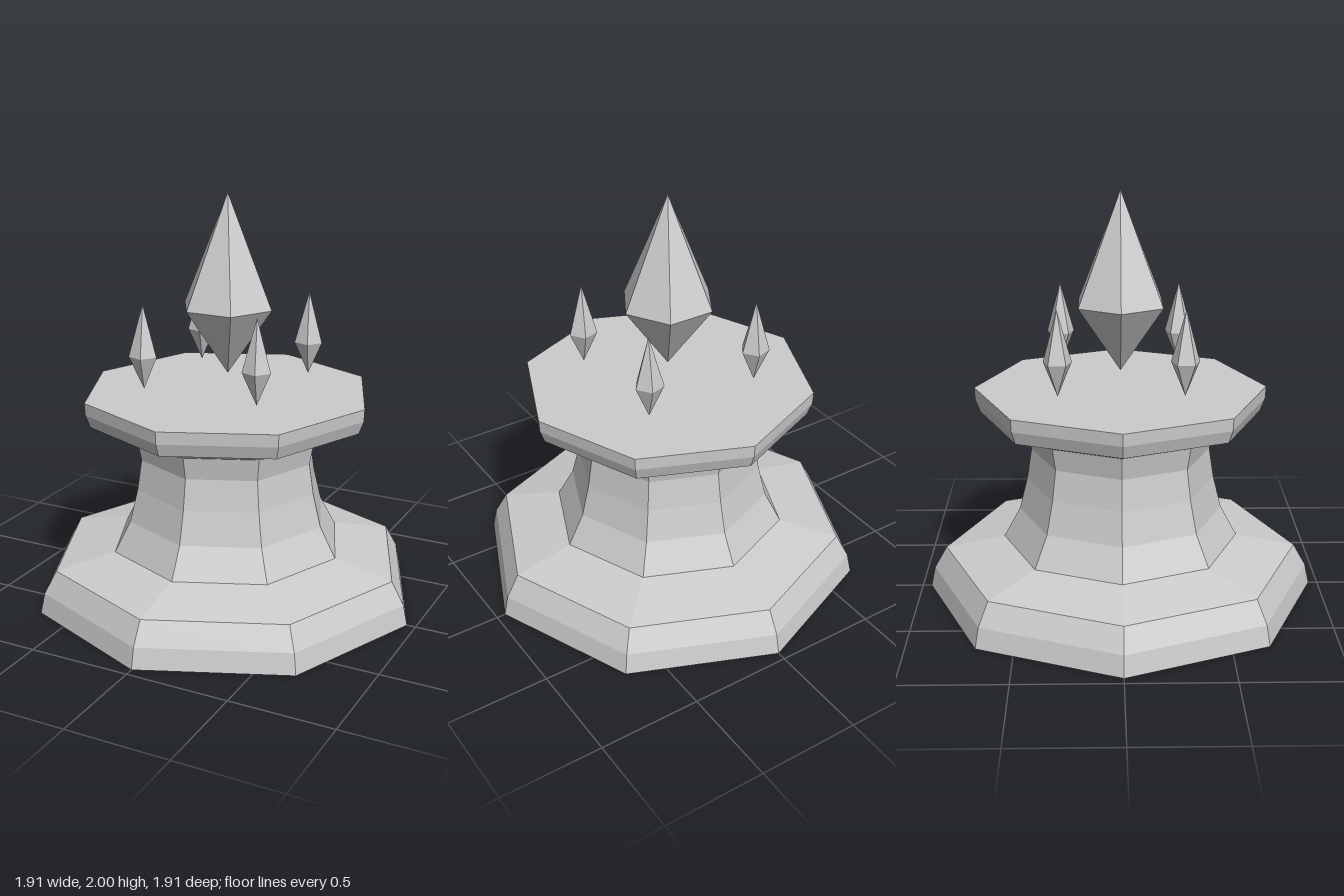
import * as THREE from 'three';

export function createModel() {
  const model = new THREE.Group();
  model.name = 'crystalPedestal';

  const stone = new THREE.MeshStandardMaterial({ color: 0xcccccc, flatShading: true });
  stone.name = 'grey stone';

  // Faceted solid turned from [radius, height] pairs listed bottom to top
  const turned = (name, profile, sides, start = 0) => {
    const points = profile.map(([r, y]) => new THREE.Vector2(r, y));
    const mesh = new THREE.Mesh(new THREE.LatheGeometry(points, sides, start), stone);
    mesh.name = name;
    model.add(mesh);
    return mesh;
  };

  // Octagonal pedestal, with corners on the x and z axes
  turned('base', [[0, 0], [0.957, 0], [0.935, 0.1], [0.873, 0.21], [0.58, 0.27]], 8);
  turned('column', [[0.58, 0.27], [0.5, 0.42], [0.46, 0.58], [0.437, 0.73], [0.457, 0.84]], 8);
  turned('capital', [[0.457, 0.84], [0.565, 0.885], [0.682, 0.923], [0.705, 0.985], [0.708, 1.045], [0, 1.045]], 8);

  // Large six-sided crystal floating over the middle
  turned('mainCrystal', [[0, 1.13], [0.231, 1.46], [0, 2]], 6, Math.PI / 2);

  // Four small five-sided crystals around it
  for (const x of [-0.295, 0.295]) {
    for (const z of [-0.295, 0.295]) {
      const shard = turned('smallCrystal', [[0, 1.09], [0.07, 1.25], [0, 1.5]], 5, Math.PI / 2);
      shard.position.set(x, 0, z);
    }
  }

  return model;
}
